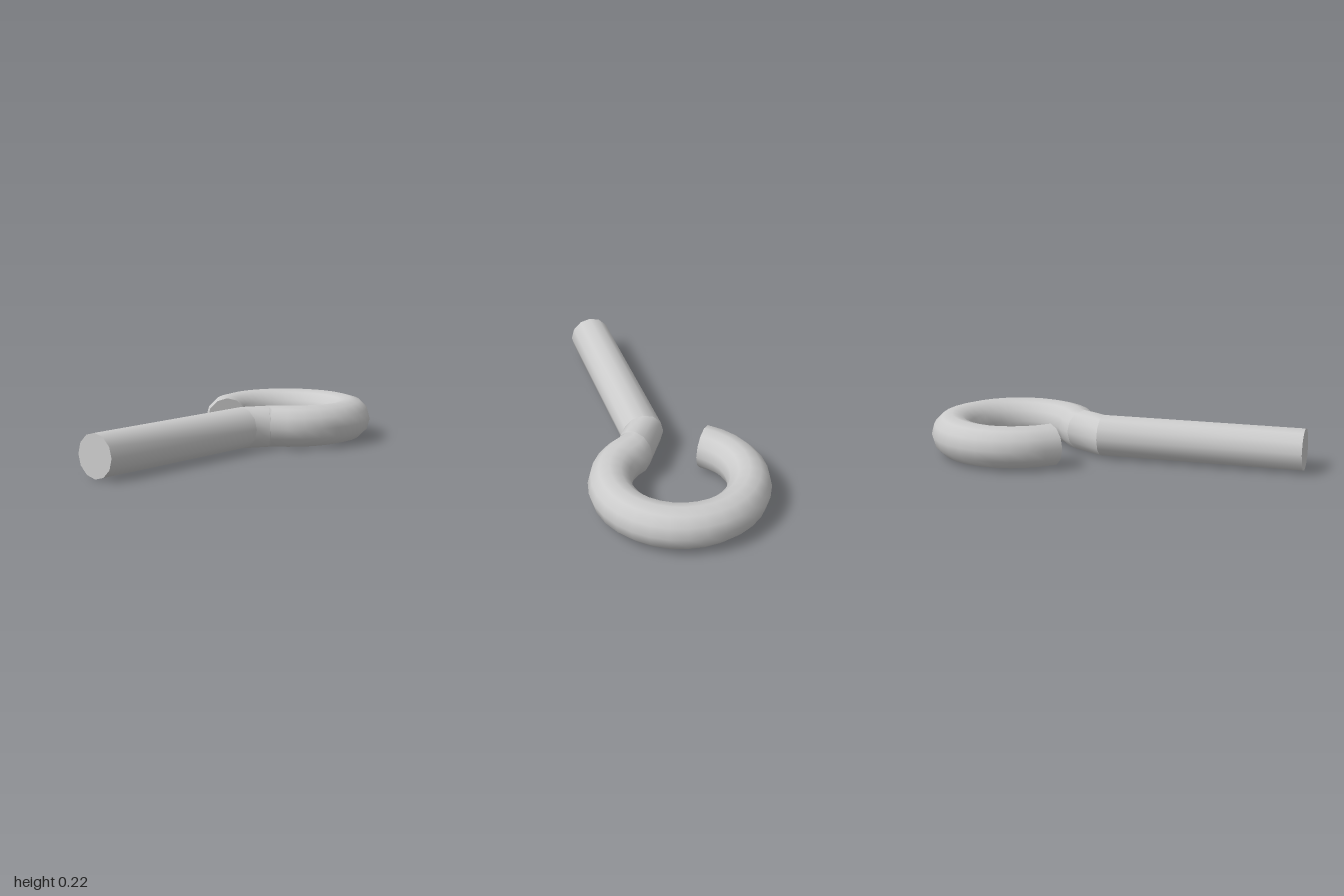
import * as THREE from 'three';

const SIDES = 12;
const RADIUS = 0.111;
const material = new THREE.MeshStandardMaterial({ color: 0xcccccc });

// Points of one cross-section, spanning from an inner to an outer [x, z] point
function sectionPoints([inner, outer]) {
  const points = [];
  for (let j = 0; j < SIDES; j++) {
    const a = (j / SIDES) * Math.PI * 2;
    const t = (1 + Math.cos(a)) / 2;
    points.push(
      inner[0] + (outer[0] - inner[0]) * t,
      RADIUS + RADIUS * Math.sin(a),
      inner[1] + (outer[1] - inner[1]) * t
    );
  }
  return points;
}

function makeMesh(name, positions, index) {
  const geometry = new THREE.BufferGeometry();
  geometry.setAttribute('position', new THREE.Float32BufferAttribute(positions, 3));
  geometry.setIndex(index);
  geometry.computeVertexNormals();
  const mesh = new THREE.Mesh(geometry, material);
  mesh.name = name;
  return mesh;
}

// Smooth skin through a run of cross-sections
function makeRod(name, sections) {
  const index = [];
  for (let i = 0; i < sections.length - 1; i++) {
    for (let j = 0; j < SIDES; j++) {
      const k = (j + 1) % SIDES;
      const a = i * SIDES + j, b = i * SIDES + k;
      index.push(a, b, b + SIDES, a, b + SIDES, a + SIDES);
    }
  }
  return makeMesh(name, sections.flatMap(sectionPoints), index);
}

// Flat end face
function makeCap(name, section, flip) {
  const index = [];
  for (let j = 1; j < SIDES - 1; j++) {
    index.push(0, flip ? j + 1 : j, flip ? j : j + 1);
  }
  return makeMesh(name, sectionPoints(section), index);
}

export function createModel() {
  const group = new THREE.Group();
  group.name = 'screwHook';

  // Open ring, from the free tip round to the neck
  const ring = [];
  const steps = 25;
  for (let i = 0; i <= steps; i++) {
    const a = THREE.MathUtils.degToRad(129 + (295.5 * i) / steps);
    ring.push([0.234, 0.455].map((r) => [r * Math.cos(a), -0.545 + r * Math.sin(a)]));
  }

  // Neck and shaft sections
  const neck = [[0.06, -0.28], [0.2, -0.132]];
  const bend = [[-0.061, -0.08], [0.16, -0.07]];
  const end = [[-0.061, 1], [0.16, 1]];

  group.add(
    makeRod('hookRing', [...ring, neck]),
    makeRod('neck', [neck, bend]),
    makeRod('shaft', [bend, end]),
    makeCap('hookTip', ring[0], true),
    makeCap('shaftEnd', end, false)
  );
  return group;
}
